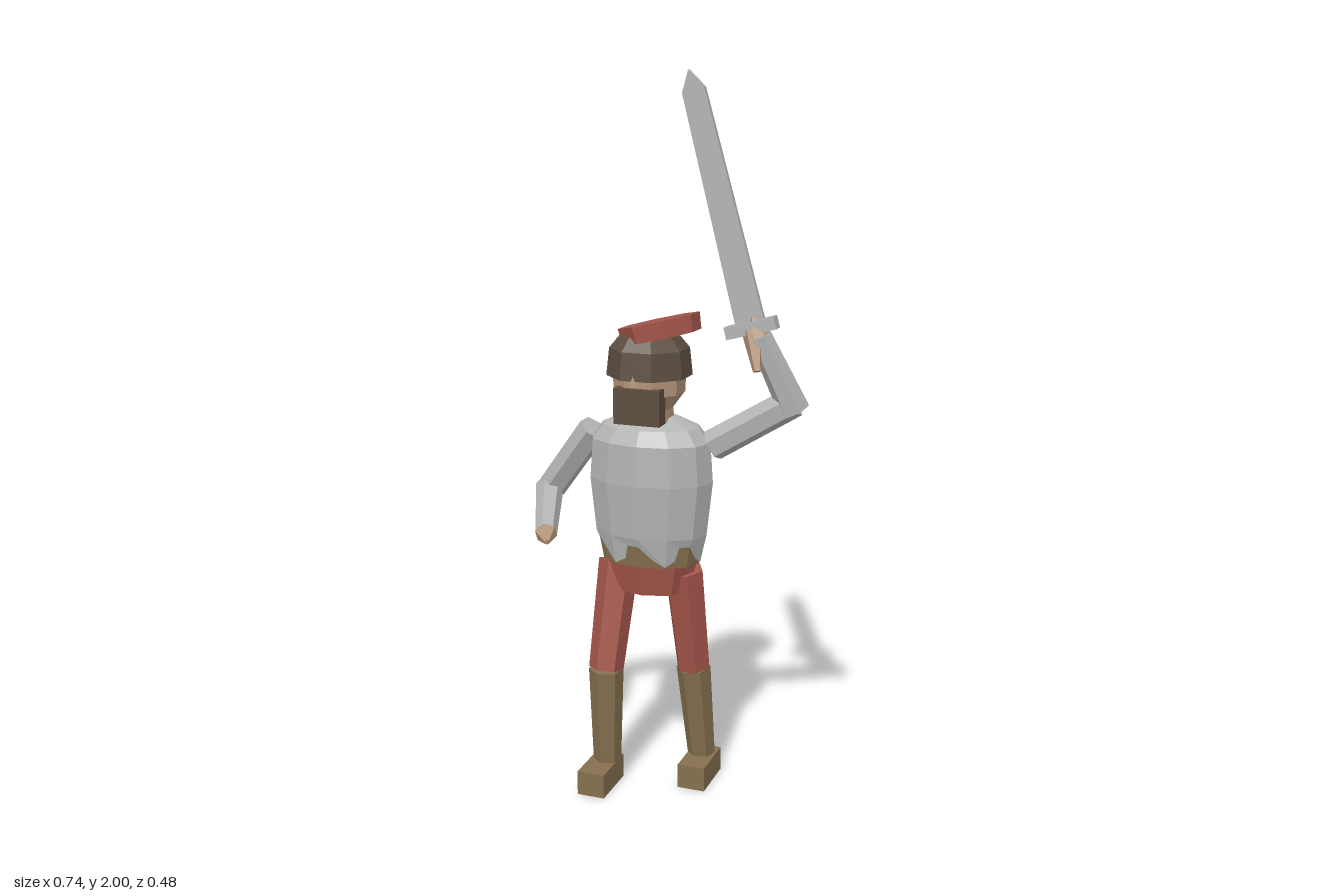
import * as THREE from 'three';

const paint = (name, color) => {
  const m = new THREE.MeshStandardMaterial({ color, flatShading: true });
  m.name = name;
  return m;
};

export function createModel() {
  const model = new THREE.Group();
  const steel = paint('steel', 0xb2b5b3);
  const red = paint('red cloth', 0xa4554a);
  const leather = paint('brown leather', 0x85704f);
  const hairBrown = paint('dark hair', 0x5c4e41);
  const skin = paint('skin', 0xb4957a);
  const yaw = 0.333; // the figure is turned slightly towards its left

  function add(name, geometry, material, pos = [0, 0, 0], turn = yaw) {
    const mesh = new THREE.Mesh(geometry, material);
    mesh.name = name;
    mesh.position.set(...pos);
    mesh.rotation.y = turn;
    model.add(mesh);
    return mesh;
  }

  // Tapered faceted limb between two points
  function limb(name, material, a, b, ra, rb, sides = 6) {
    const from = new THREE.Vector3(...a), to = new THREE.Vector3(...b);
    const dir = to.clone().sub(from);
    const g = new THREE.CylinderGeometry(rb, ra, dir.length(), sides);
    const mesh = add(name, g, material, from.clone().add(to).multiplyScalar(0.5).toArray());
    mesh.quaternion.setFromUnitVectors(new THREE.Vector3(0, 1, 0), dir.normalize());
    return mesh;
  }

  // Faceted solid of revolution, flattened front to back
  function turned(profile, sides, depth = 1) {
    const g = new THREE.LatheGeometry(profile.map(p => new THREE.Vector2(...p)), sides);
    return g.scale(1, 1, depth);
  }

  // Breastplate with a notched lower edge over a leather lining
  const chest = turned([[0.145, 0.68], [0.163, 0.76], [0.18, 0.91], [0.172, 1.02], [0.14, 1.06], [0.075, 1.087], [0, 1.09]], 12, 0.66);
  const p = chest.attributes.position;
  for (let i = 0; i < p.count; i++) {
    if (p.getY(i) < 0.69 && Math.floor(i / 7) % 2 === 0) p.setY(i, 0.72);
  }
  add('breastplate', chest, steel, [-0.025, 0, -0.04]);
  add('lining', turned([[0, 0.676], [0.141, 0.676], [0.153, 0.74], [0, 0.74]], 12, 0.66), leather, [-0.025, 0, -0.04]);
  add('hips', turned([[0, 0.59], [0.112, 0.59], [0.137, 0.685], [0, 0.685]], 8, 0.68), red, [-0.025, 0, -0.04]);

  // Legs: thigh, boot shaft and foot
  const legs = [
    { side: 'right', hip: [-0.112, 0.66, -0.005], knee: [-0.108, 0.355, 0.058], ankle: [-0.118, 0.05, 0.044], foot: [-0.1125, 0.035, 0.08] },
    { side: 'left', hip: [0.06, 0.65, -0.08], knee: [0.065, 0.35, -0.122], ankle: [0.065, 0.05, -0.165], foot: [0.079, 0.035, -0.135] },
  ];
  for (const { side, hip, knee, ankle, foot } of legs) {
    limb(side + 'Thigh', red, hip, knee, 0.057, 0.049);
    limb(side + 'Boot', leather, knee, ankle, 0.049, 0.039);
    add(side + 'Foot', new THREE.BoxGeometry(0.08, 0.07, 0.152), leather, foot);
  }

  // Right arm, hand held in front of the waist
  limb('rightUpperArm', steel, [-0.185, 1.035, 0.015], [-0.335, 0.84, 0.033], 0.043, 0.042);
  limb('rightForearm', steel, [-0.345, 0.845, 0.028], [-0.2, 0.77, 0.198], 0.04, 0.03);
  limb('rightHand', skin, [-0.2, 0.77, 0.198], [-0.168, 0.758, 0.228], 0.032, 0.008);

  // Left arm, raised with the sword
  limb('leftUpperArm', steel, [0.13, 1.01, -0.115], [0.335, 1.145, -0.2], 0.044, 0.042);
  limb('leftForearm', steel, [0.335, 1.12, -0.203], [0.268, 1.325, -0.13], 0.042, 0.032);
  limb('leftHand', skin, [0.268, 1.325, -0.13], [0.257, 1.375, -0.12], 0.032, 0.01);

  // Sword
  const sword = new THREE.Group();
  sword.name = 'sword';
  sword.position.set(0.25, 1.345, -0.12);
  sword.rotation.set(0, yaw, 0.265);
  const outline = new THREE.Shape([[-0.04, 0], [0.04, 0], [0.031, 0.625], [0, 0.677], [-0.031, 0.625]].map(q => new THREE.Vector2(...q)));
  const blade = new THREE.Mesh(new THREE.ExtrudeGeometry(outline, { depth: 0.016, bevelEnabled: false }).translate(0, 0, -0.008), steel);
  blade.name = 'blade';
  const guard = new THREE.Mesh(new THREE.BoxGeometry(0.14, 0.034, 0.036), steel);
  guard.name = 'guard';
  guard.rotation.z = 0.0;
  sword.add(blade, guard);
  model.add(sword);
  limb('swordGrip', skin, [0.25, 1.335, -0.125], [0.284, 1.235, -0.102], 0.03, 0.012, 5);

  // Neck, head, hair and beard
  const at = [-0.02, 0, -0.028], eighth = yaw + Math.PI / 8;
  add('neck', new THREE.CylinderGeometry(0.055, 0.06, 0.08, 6), skin, [-0.01, 1.1, -0.03]);
  add('head', turned([[0, 1.1], [0.06, 1.105], [0.097, 1.155], [0.1, 1.22], [0, 1.22]], 8), skin, at, eighth);
  add('hair', turned([[0, 1.2], [0.117, 1.2], [0.109, 1.275], [0.08, 1.31], [0, 1.31]], 8), hairBrown, at, eighth);
  add('beard', new THREE.BoxGeometry(0.13, 0.098, 0.05), hairBrown, [0.005, 1.129, 0.045]);
  add('nose', new THREE.ConeGeometry(0.013, 0.03, 4), skin, [0.012, 1.2, 0.08]);

  // Tilted flat cap
  const cap = add('cap', new THREE.CylinderGeometry(0.113, 0.108, 0.046, 8), red, [0, 1.325, -0.05], 0);
  cap.rotation.set(0.05, 0, 0.23);

  return model;
}
